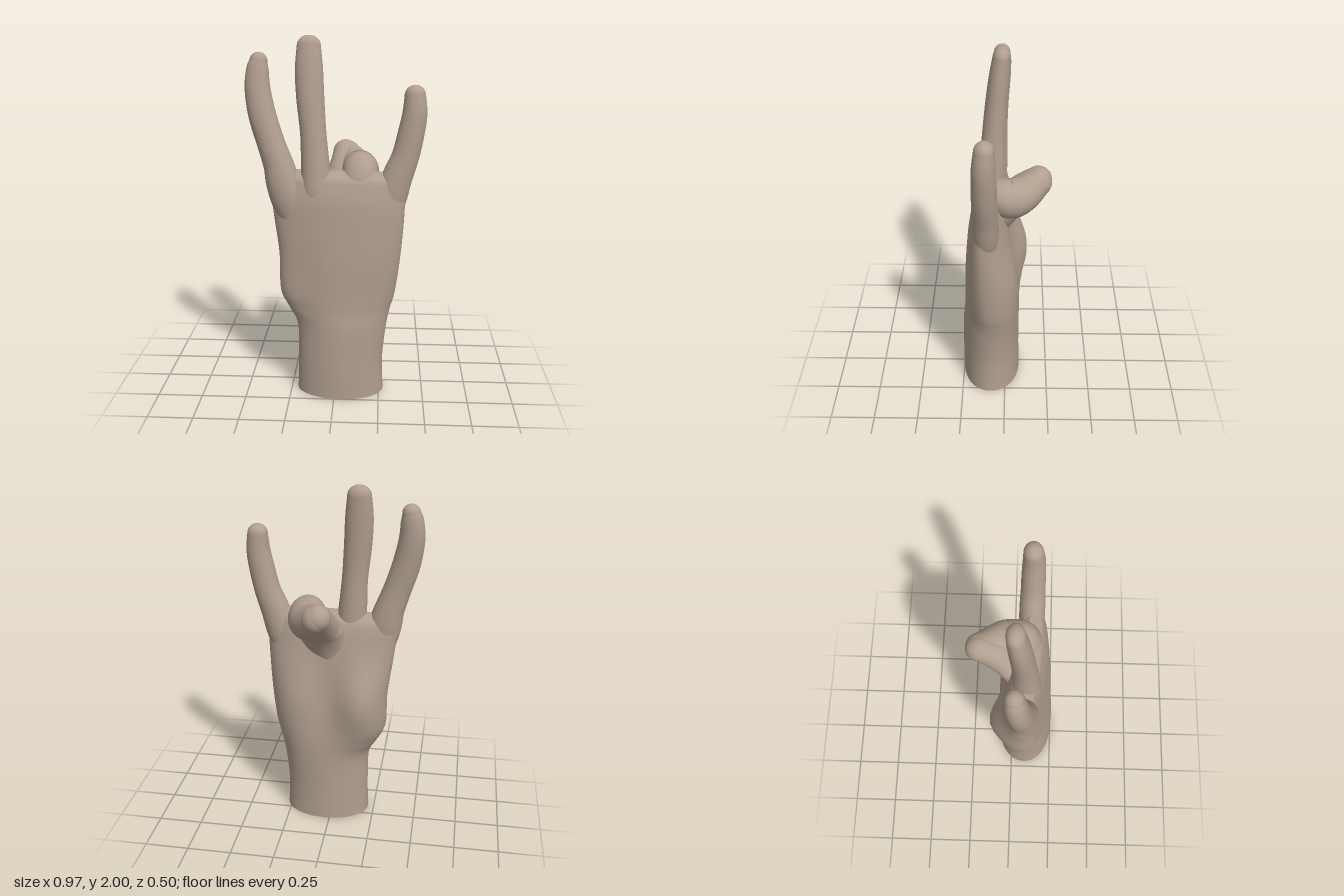
import * as THREE from 'three';

const SEG = 40;
const skinMaterial = new THREE.MeshStandardMaterial({ color: 0xb09e8f });

// Smoothly interpolates rows of numbers, t in 0..1
function sampleRows(rows, t) {
  const n = rows.length - 1;
  const i = Math.min(Math.floor(t * n), n - 1);
  const f = t * n - i;
  const b = rows[i], c = rows[i + 1];
  const a = rows[Math.max(i - 1, 0)], d = rows[Math.min(i + 2, n)];
  return b.map((_, k) => {
    const m0 = (c[k] - a[k]) / 2, m1 = (d[k] - b[k]) / 2;
    const f2 = f * f, f3 = f2 * f;
    return (2 * f3 - 3 * f2 + 1) * b[k] + (f3 - 2 * f2 + f) * m0
      + (3 * f2 - 2 * f3) * c[k] + (f3 - f2) * m1;
  });
}

// Joins closed rings of points into one smooth surface
function skin(rings, name) {
  const index = [];
  for (let i = 0; i < rings.length - 1; i++) {
    for (let j = 0; j < SEG; j++) {
      const a = i * SEG + j, b = i * SEG + (j + 1) % SEG;
      index.push(a, b, a + SEG, b, b + SEG, a + SEG);
    }
  }
  const geometry = new THREE.BufferGeometry().setFromPoints(rings.flat());
  geometry.setIndex(index);
  geometry.computeVertexNormals();
  const mesh = new THREE.Mesh(geometry, skinMaterial);
  mesh.name = name;
  return mesh;
}

function ring(fn) {
  return Array.from({ length: SEG }, (_, j) => {
    const a = (j / SEG) * Math.PI * 2;
    return fn(Math.cos(a), Math.sin(a));
  });
}

// Finger from rows of [x, y, z, half width, half depth], with a round tip
function finger(name, rows) {
  const rings = [];
  const steps = 36;
  const centre = (t) => new THREE.Vector3(...sampleRows(rows, t).slice(0, 3));
  const addRing = (t, scale, push) => {
    const [, , , rw, rd] = sampleRows(rows, t);
    const along = centre(Math.min(t + 0.01, 1)).sub(centre(Math.max(t - 0.01, 0))).normalize();
    const u = new THREE.Vector3(1, 0, 0).addScaledVector(along, -along.x).normalize();
    const v = along.clone().cross(u);
    const c = centre(t).addScaledVector(along, push * (rw + rd) / 2);
    rings.push(ring((cos, sin) => c.clone()
      .addScaledVector(u, cos * rw * scale).addScaledVector(v, sin * rd * scale)));
  };
  for (let i = 0; i <= steps; i++) addRing(i / steps, 1, 0);
  for (let k = 1; k <= 8; k++) {
    const phi = (k / 8) * Math.PI / 2;
    addRing(1, Math.cos(phi), Math.sin(phi));
  }
  return skin(rings, name);
}

// Wrist and palm from rows of [y, min x, max x, palm z, knuckle z]
function palm() {
  const rows = [
    [0, -0.215, 0.275, -0.083, 0.25],
    [0.2, -0.21, 0.27, -0.08, 0.25],
    [0.4, -0.215, 0.29, -0.08, 0.245],
    [0.5, -0.265, 0.31, -0.08, 0.235],
    [0.6, -0.31, 0.335, -0.075, 0.23],
    [0.8, -0.315, 0.36, -0.06, 0.22],
    [1.0, -0.34, 0.375, -0.035, 0.2],
    [1.12, -0.355, 0.38, -0.02, 0.185],
    [1.2, -0.37, 0.385, -0.005, 0.165],
    [1.25, -0.365, 0.375, 0.015, 0.145],
    [1.285, -0.27, 0.28, 0.06, 0.1],
  ];
  const bump = (d, w) => Math.exp(-(d * d) / (w * w));
  const rings = [];
  const steps = 70;
  for (let i = 0; i <= steps; i++) {
    const [y, x0, x1, zb, zf] = sampleRows(rows, i / steps);
    const cx = (x0 + x1) / 2, rx = (x1 - x0) / 2;
    const zc = (zb + zf) / 2, rz = (zf - zb) / 2;
    const upper = THREE.MathUtils.smoothstep(y, 0.3, 1.1);
    const bulge = (s, e) => Math.sign(s) * Math.pow(Math.abs(s), e);
    rings.push(ring((cos, sin) => {
      const x = cx + rx * bulge(cos, 1 - 0.15 * upper);
      let z = zc - rz * bulge(sin, 0.95) + 0.09 * upper * (x - cx);
      if (sin > 0) {
        // Thumb mound, outer mound and the hollow between them
        const soft = Math.sqrt(sin);
        z -= soft * 0.085 * bump(x + 0.2, 0.14) * bump(y - 0.77, 0.22);
        z -= soft * 0.04 * bump(x - 0.25, 0.14) * bump(y - 0.75, 0.3);
        z += sin * 0.02 * bump(x - 0.03, 0.07) * bump(y - 0.85, 0.22);
      } else {
        // Back of the hand slopes down towards the thumb side
        z += sin * 0.025 * bump(x + 0.2, 0.13) * bump(y - 0.6, 0.5);
      }
      return new THREE.Vector3(x, y, z);
    }));
  }
  // Flat wrist cut and closed top
  const collapse = (r) => {
    const c = r.reduce((s, p) => s.add(p), new THREE.Vector3()).divideScalar(SEG);
    return r.map(() => c.clone());
  };
  const copy = (r) => r.map((p) => p.clone());
  const first = rings[0], last = rings[rings.length - 1];
  return skin([collapse(first), copy(first), ...rings, collapse(last)], 'palmAndWrist');
}

export function createModel() {
  const model = new THREE.Group();
  model.name = 'hand';
  model.add(palm());

  // Straight fingers
  model.add(finger('indexFinger', [
    [-0.2, 0.92, 0.075, 0.05, 0.04],
    [-0.25, 1.1, 0.075, 0.095, 0.07],
    [-0.288, 1.22, 0.07, 0.093, 0.078],
    [-0.31, 1.31, 0.065, 0.083, 0.075],
    [-0.35, 1.43, 0.06, 0.076, 0.068],
    [-0.395, 1.58, 0.05, 0.075, 0.064],
    [-0.419, 1.72, 0.035, 0.069, 0.06],
    [-0.418, 1.82, 0.025, 0.06, 0.053],
    [-0.412, 1.865, 0.022, 0.048, 0.045],
  ]));
  model.add(finger('middleFinger', [
    [-0.08, 0.95, 0.085, 0.05, 0.05],
    [-0.1, 1.14, 0.085, 0.085, 0.075],
    [-0.107, 1.28, 0.075, 0.08, 0.075],
    [-0.119, 1.48, 0.065, 0.071, 0.065],
    [-0.135, 1.67, 0.05, 0.075, 0.06],
    [-0.142, 1.82, 0.035, 0.075, 0.055],
    [-0.143, 1.945, 0.02, 0.064, 0.047],
  ]));
  model.add(finger('littleFinger', [
    [0.25, 0.92, 0.1, 0.05, 0.04],
    [0.293, 1.12, 0.1, 0.088, 0.068],
    [0.335, 1.26, 0.1, 0.082, 0.07],
    [0.375, 1.37, 0.1, 0.074, 0.066],
    [0.402, 1.49, 0.1, 0.071, 0.064],
    [0.42, 1.6, 0.1, 0.066, 0.06],
    [0.42, 1.698, 0.095, 0.056, 0.052],
  ]));

  // Ring finger folded over towards the palm
  model.add(finger('foldedRingFinger', [
    [0.12, 1.02, 0.08, 0.06, 0.05],
    [0.13, 1.18, 0.085, 0.1, 0.08],
    [0.135, 1.28, 0.045, 0.095, 0.09],
    [0.13, 1.265, -0.03, 0.105, 0.11],
    [0.1, 1.28, -0.1, 0.095, 0.1],
    [0.06, 1.325, -0.175, 0.073, 0.077],
  ]));

  // Thumb reaching up from the palm to hold the folded finger
  model.add(finger('thumb', [
    [-0.06, 0.95, 0.03, 0.07, 0.04],
    [0.01, 1.08, 0.02, 0.11, 0.06],
    [0.055, 1.19, -0.02, 0.125, 0.08],
    [0.055, 1.27, -0.09, 0.1, 0.085],
    [0.045, 1.335, -0.178, 0.07, 0.073],
  ]));
  return model;
}
